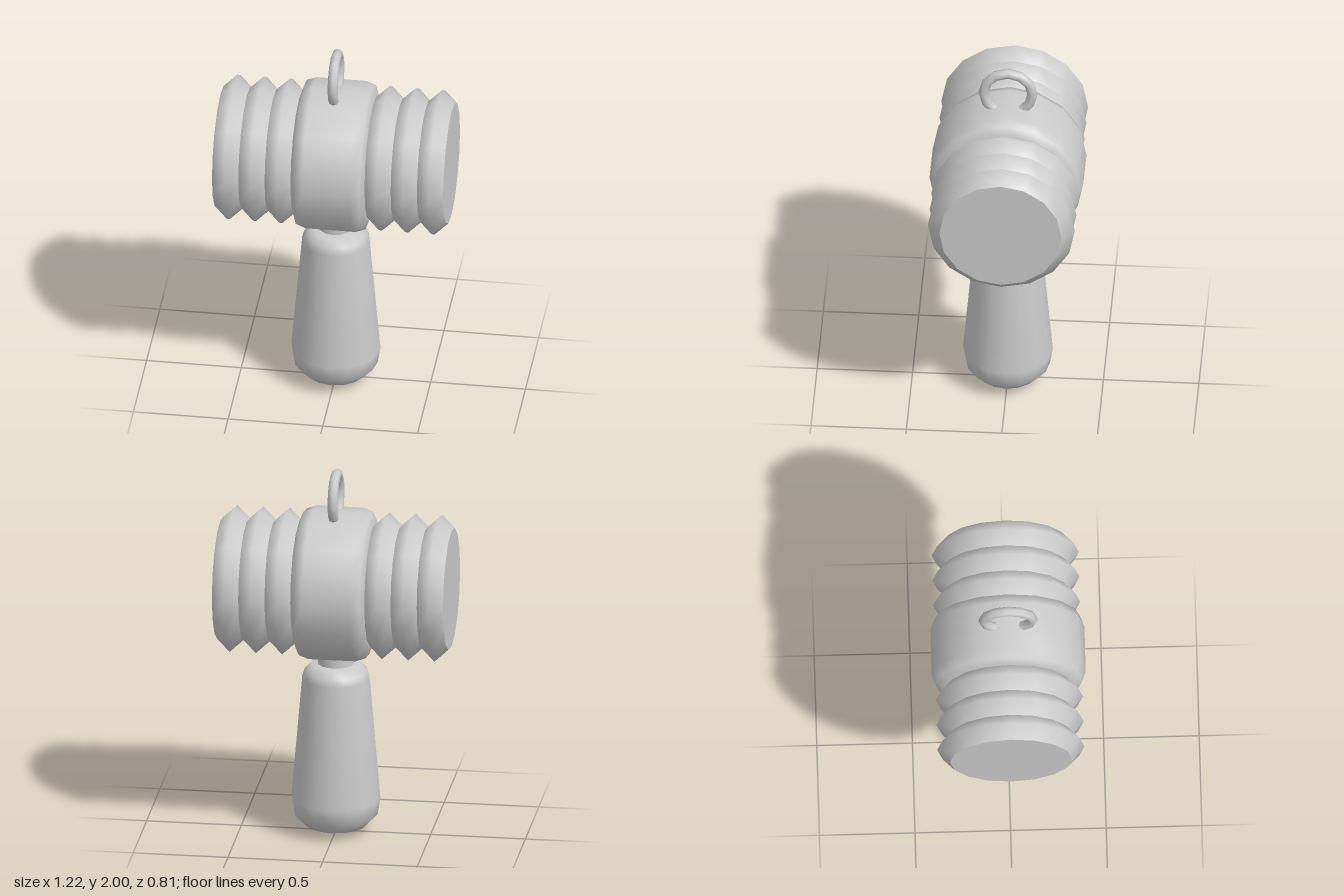
import * as THREE from 'three';

const SIDES = 16;
const AXIS_Y = 1.37; // height of the hammer head's axis

export function createModel() {
  const model = new THREE.Group();
  model.name = 'toyHammer';
  const grey = new THREE.MeshStandardMaterial({ color: 0xcccccc });
  grey.name = 'light grey';

  const add = (name, geometry, parent = model) => {
    const mesh = new THREE.Mesh(geometry, grey);
    mesh.name = name;
    parent.add(mesh);
    return mesh;
  };
  // Points are [radius, position along the axis], in rising order
  const lathe = (points) =>
    new THREE.LatheGeometry(points.map(([r, h]) => new THREE.Vector2(r, h)), SIDES);
  const latheX = (points) => lathe(points).rotateZ(-Math.PI / 2);

  // Handle: tapered grip with rounded ends, and a short neck
  add('handleGrip', lathe([
    [0, 0], [0.165, 0.04], [0.22, 0.1], [0.235, 0.19],
    [0.178, 0.85], [0.165, 0.89], [0.13, 0.93], [0, 0.93],
  ]));
  add('handleNeck', new THREE.CylinderGeometry(0.095, 0.095, 0.09, SIDES)).position.y = 0.965;

  // Head: bevelled barrel in the middle
  const head = new THREE.Group();
  head.name = 'head';
  head.position.y = AXIS_Y;
  model.add(head);
  add('headBarrel', latheX([
    [0.31, -0.195], [0.33, -0.195], [0.385, -0.175], [0.403, -0.125],
    [0.403, 0.125], [0.385, 0.175], [0.33, 0.195], [0.31, 0.195],
  ]), head);

  // Bellows on both ends, three ridges each, closed by a flat face
  for (const side of [1, -1]) {
    const bellows = new THREE.Group();
    bellows.name = side > 0 ? 'leftBellows' : 'rightBellows';
    if (side < 0) bellows.rotation.y = Math.PI;
    head.add(bellows);
    for (let i = 0; i < 3; i++) {
      const x = 0.194 + i * 0.1387;
      add('bellowsRidge', latheX([
        [0.32, x], [0.385, x + 0.0693], [0.32, x + 0.1387],
      ]), bellows);
    }
    const face = new THREE.CircleGeometry(0.32, SIDES).rotateY(Math.PI / 2);
    add('strikingFace', face, bellows).position.x = 0.61;
  }

  // Hanging ring on top
  const ring = new THREE.TorusGeometry(0.128, 0.027, 8, 12).rotateY(Math.PI / 2);
  add('hangingRing', ring).position.y = 1.845;

  return model;
}
